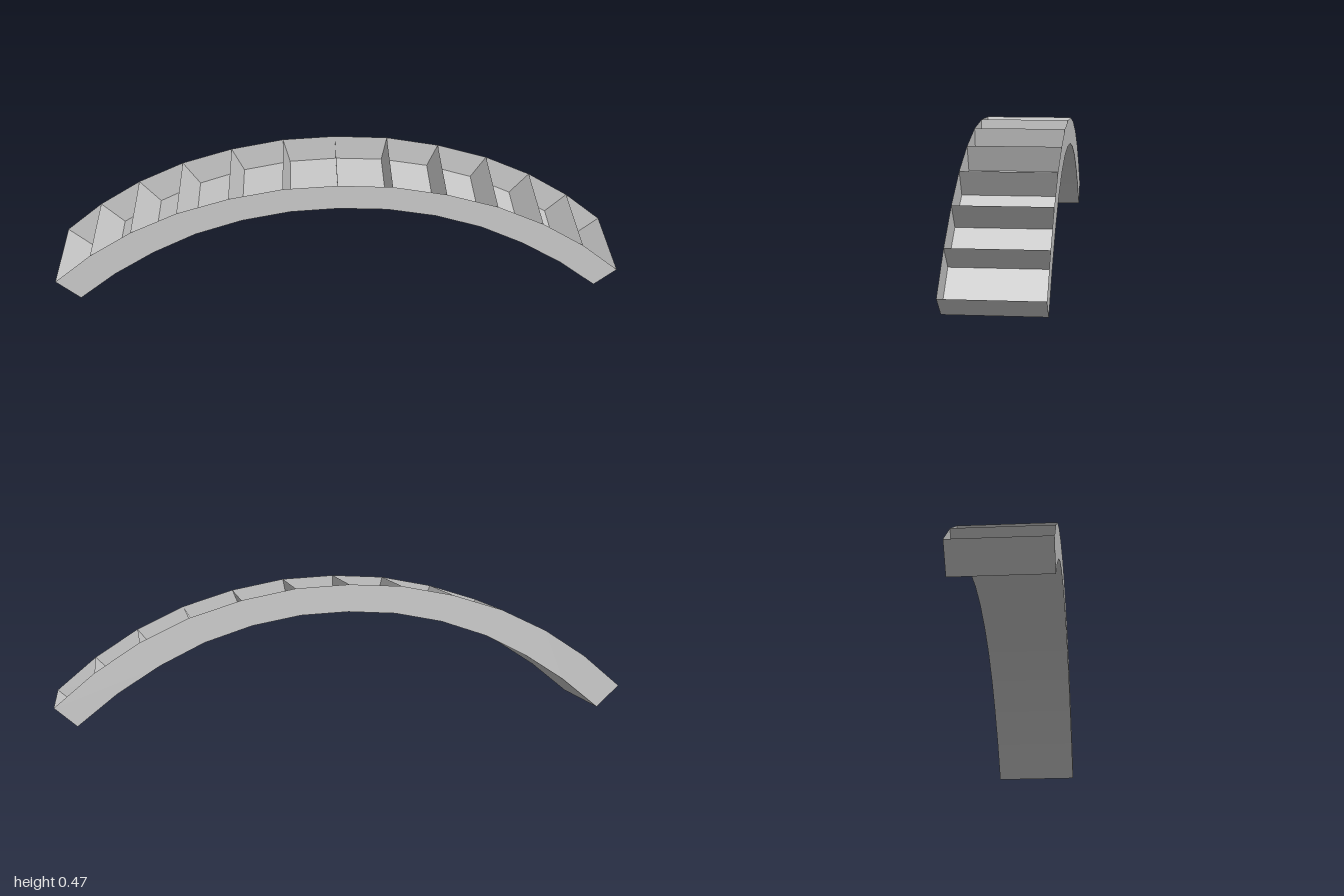
import * as THREE from 'three';

// Right half of each arc from crown to foot: [x, y]
const OUTER = [[0, 0.467], [0.186, 0.457], [0.371, 0.421], [0.55, 0.365], [0.714, 0.287], [0.864, 0.19], [1, 0.076]];
const INNER = [[0, 0.373], [0.165, 0.364], [0.332, 0.332], [0.495, 0.278], [0.645, 0.203], [0.788, 0.112], [0.922, 0.005]];
const HALF_DEPTH = 0.154;

// Mirror a half arc into a full one, left foot to right foot
const fullArc = (half, shift, tilt) => [
  ...half.slice(1).reverse().map(([x, y]) => [-x, y]),
  ...half,
].map(([x, y]) => [x + shift, y + tilt * x]);

// Flat sheet spanning the full depth between two profile points
function crossPanel(a, b) {
  const geo = new THREE.BufferGeometry();
  const z = HALF_DEPTH;
  geo.setAttribute('position', new THREE.Float32BufferAttribute([
    ...a, z, ...b, z, ...b, -z,
    ...a, z, ...b, -z, ...a, -z,
  ], 3));
  geo.computeVertexNormals();
  return geo;
}

export function createModel() {
  const model = new THREE.Group();
  model.name = 'archedTrough';
  const material = new THREE.MeshStandardMaterial({ color: 0xcccccc, flatShading: true, side: THREE.DoubleSide });
  const add = (geo, name) => {
    const mesh = new THREE.Mesh(geo, material);
    mesh.name = name;
    model.add(mesh);
    return mesh;
  };

  const outer = fullArc(OUTER, 0, 0);
  const inner = fullArc(INNER, 0.003, 0.0054);

  // Thin curved side walls, front and back
  const outline = [...inner, ...[...outer].reverse()].map(([x, y]) => new THREE.Vector2(x, y));
  const wall = new THREE.ShapeGeometry(new THREE.Shape(outline));
  add(wall, 'frontWall').position.z = HALF_DEPTH;
  const back = add(wall.clone(), 'backWall');
  back.position.z = -HALF_DEPTH;

  // Faceted floor along the inner arc
  for (let i = 0; i < inner.length - 1; i++) add(crossPanel(inner[i], inner[i + 1]), 'floorPanel');

  // Dividers between the open cells, with one closing each foot
  inner.forEach((p, i) => {
    const isEnd = i === 0 || i === inner.length - 1;
    add(crossPanel(p, outer[i]), isEnd ? 'endPanel' : 'divider');
  });

  return model;
}
